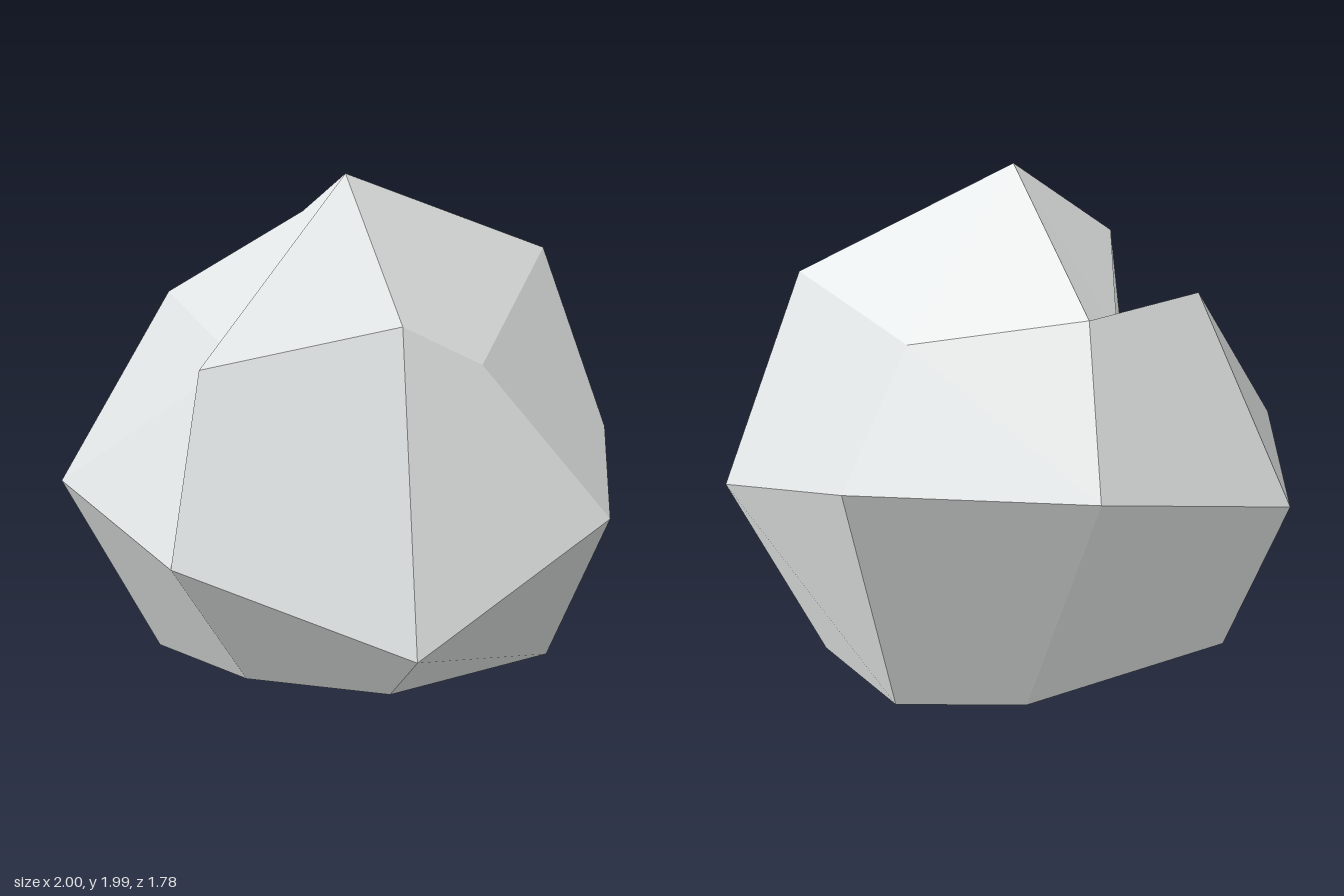
import * as THREE from 'three';

// Centre of the unit sphere the boulder is chiselled from
const CENTRE = new THREE.Vector3(0, 0.993, -0.045);

// Chipped points, keyed by their lattice direction
const CHIPS = {
  '0,0,1': [0, 0.70, 0.89],
  '0,0,-1': [0, 1.18, -0.89],
  '0,-1,0': [0, 0.13, -0.045],
  '-1,1,0': [-0.38, 1.375, -0.045],
  '0,-1,1': [0, 0.38, 0.59],
  '0,-1,-1': [0, 0, -0.22],
  '1,0,-1': [0.707, 1.18, -0.6],
  '1,1,1': [0.35, 1.45, 0.38],
  '-1,1,-1': [-0.577, 1.57, -0.26],
  '1,1,-1': [0.46, 1.57, -0.45],
  '-1,-1,1': [-0.46, 0.415, 0.435],
};

// Lattice direction -> point on the sphere, or its chipped position
function latticePoint(dir) {
  const chip = CHIPS[dir.join(',')];
  if (chip) return new THREE.Vector3(...chip);
  return new THREE.Vector3(...dir).normalize().add(CENTRE);
}

// Cube sphere with 2 x 2 facets per side; each facet carries one flat normal
function boulderGeometry() {
  const positions = [];
  const normals = [];
  for (let axis = 0; axis < 3; axis++) {
    const a = (axis + 1) % 3;
    const b = (axis + 2) % 3;
    for (const side of [1, -1]) for (const sa of [1, -1]) for (const sb of [1, -1]) {
      const dir = (u, v) => {
        const d = [0, 0, 0];
        d[axis] = side;
        d[a] = u;
        d[b] = v;
        return d;
      };
      // centre, edge, corner, edge, counter-clockwise from outside
      let quad = [dir(0, 0), dir(sa, 0), dir(sa, sb), dir(0, sb)].map(latticePoint);
      if (side * sa * sb < 0) quad = [quad[0], quad[3], quad[2], quad[1]];
      const normal = quad[2].clone().sub(quad[0])
        .cross(quad[3].clone().sub(quad[1])).normalize();
      // Fold direction alternates over the lattice
      const parity = side * sa * sb * (axis === 0 ? -1 : 1);
      const order = parity < 0 ? [0, 1, 2, 0, 2, 3] : [0, 1, 3, 1, 2, 3];
      for (const i of order) {
        positions.push(...quad[i].toArray());
        normals.push(...normal.toArray());
      }
    }
  }
  const geometry = new THREE.BufferGeometry();
  geometry.setAttribute('position', new THREE.Float32BufferAttribute(positions, 3));
  geometry.setAttribute('normal', new THREE.Float32BufferAttribute(normals, 3));
  return geometry;
}

export function createModel() {
  const group = new THREE.Group();
  group.name = 'rock';
  const stone = new THREE.MeshStandardMaterial({ color: 0xe3e6e6 });
  stone.name = 'stone grey';
  const boulder = new THREE.Mesh(boulderGeometry(), stone);
  boulder.name = 'boulder';
  group.add(boulder);
  return group;
}
